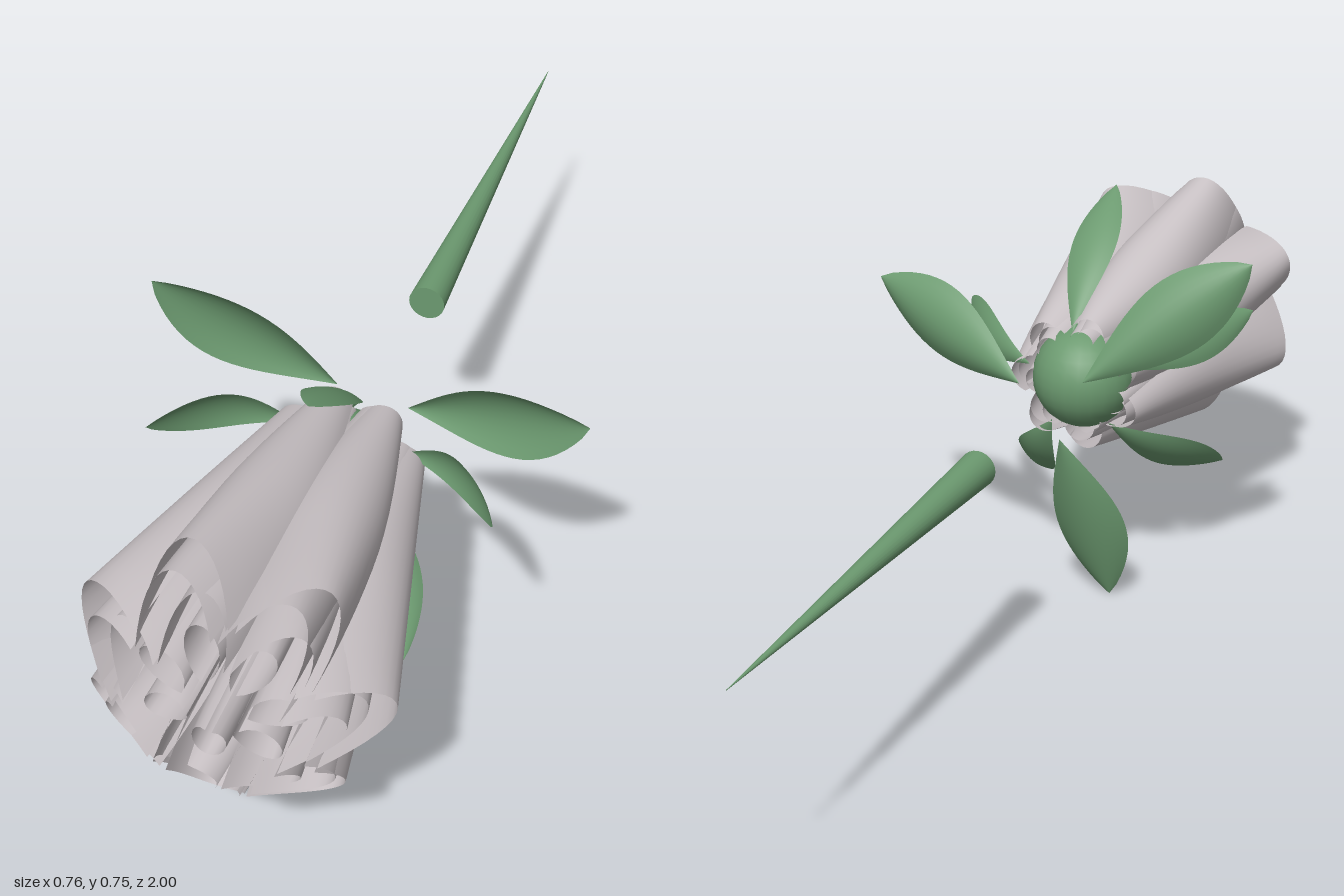
import * as THREE from 'three';

const CX = -0.04, CY = 0.445; // flower axis, running along z
const rad = THREE.MathUtils.degToRad;

// Open surface from a rule (u in -1..1 across, t in 0..1 along) -> [radial, tangential, z]
function sheet(rule, nu, nt) {
  const pos = [], idx = [];
  for (let j = 0; j <= nt; j++) {
    for (let i = 0; i <= nu; i++) {
      pos.push(...rule(-1 + (2 * i) / nu, j / nt));
      if (i < nu && j < nt) {
        const a = j * (nu + 1) + i, b = a + nu + 1;
        idx.push(a, a + 1, b, a + 1, b + 1, b);
      }
    }
  }
  const g = new THREE.BufferGeometry();
  g.setAttribute('position', new THREE.Float32BufferAttribute(pos, 3));
  g.setIndex(idx);
  g.computeVertexNormals();
  return g;
}

// Curled petal: a cross-section arc that widens and leans outwards, its tip slightly pinched
function petalGeometry({ r0, r1, width, depth, curl, zEnd, notch }) {
  const z0 = 0.32;
  const norm = curl > Math.PI / 2 ? 1 : Math.sin(curl);
  const drop = 1 - Math.cos(curl);
  return sheet((u, t) => {
    const a = u * curl;
    const open = 0.4 + 0.6 * Math.sin(Math.min(1, t / 0.6) * Math.PI / 2) - 0.15 * Math.pow(t, 6);
    const r = r0 + (r1 - r0) * t - depth * (0.3 + 0.7 * t) * (1 - Math.cos(a)) / drop;
    return [r, width * open * Math.sin(a) / norm, z0 + t * (zEnd + notch * u * u - z0)];
  }, 16, 14);
}

// Pointed leaf along a curved midline of (radius, z) points, edges cupped forward
function leafGeometry(points, halfWidth, cup) {
  const mid = new THREE.QuadraticBezierCurve(...points.map(p => new THREE.Vector2(...p)));
  return sheet((u, t) => {
    const p = mid.getPoint(t), d = mid.getTangent(t);
    const s = Math.pow(Math.max(0, Math.sin(Math.PI * Math.pow(t, 1.25))), 0.8);
    const lift = cup * s * u * u;
    return [p.x - d.y * lift, u * halfWidth * s, p.y + d.x * lift];
  }, 10, 20);
}

export function createModel() {
  const petalMat = new THREE.MeshStandardMaterial({ color: 0xcbc4c7, side: THREE.DoubleSide });
  petalMat.name = 'pale petal grey';
  const greenMat = new THREE.MeshStandardMaterial({ color: 0x6c9a70, side: THREE.DoubleSide });
  greenMat.name = 'leaf green';

  const model = new THREE.Group();
  model.name = 'flower';
  const flower = new THREE.Group();
  flower.name = 'flowerAxis';
  flower.position.set(CX, CY, 0);
  model.add(flower);

  const add = (geometry, material, name, degrees = 0) => {
    const mesh = new THREE.Mesh(geometry, material);
    mesh.name = name;
    mesh.rotation.z = rad(degrees);
    flower.add(mesh);
    return mesh;
  };

  // Thorn-like stem, tapering backwards
  const stem = new THREE.CylinderGeometry(0.034, 0.0005, 0.873, 24);
  stem.rotateX(Math.PI / 2);
  add(stem, greenMat, 'stem').position.z = -0.5615;

  // Round flower base and the flat heart inside the petals
  add(new THREE.SphereGeometry(0.1, 24, 16), greenMat, 'flowerBase').position.z = 0.363;
  const heart = new THREE.CylinderGeometry(0.043, 0.043, 0.12, 20);
  heart.rotateX(Math.PI / 2);
  add(heart, greenMat, 'heart').position.z = 0.46;

  // Four nested rings of seven petals, curling tighter towards the middle
  const rings = [
    { name: 'outerPetal', turn: 0, r0: 0.135, r1: 0.265, width: 0.086, depth: 0.1, curl: 1.2, zEnd: 0.875, notch: 0.09 },
    { name: 'secondPetal', turn: 0.13, r0: 0.12, r1: 0.232, width: 0.076, depth: 0.085, curl: 1.3, zEnd: 0.91, notch: 0.07 },
    { name: 'thirdPetal', turn: -0.12, r0: 0.105, r1: 0.2, width: 0.062, depth: 0.08, curl: 1.6, zEnd: 0.92, notch: 0.08 },
    { name: 'innerPetal', turn: 0, r0: 0.072, r1: 0.142, width: 0.034, depth: 0.088, curl: 2.95, zEnd: 0.93, notch: 0.03 },
  ];
  for (const ring of rings) {
    const geometry = petalGeometry(ring);
    for (let i = 0; i < 7; i++) add(geometry, petalMat, ring.name, (i + ring.turn) * 360 / 7);
  }

  // Five small sepals hugging the petals
  const tips = [0.595, 0.51, 0.595, 0.515, 0.51];
  tips.forEach((z, i) => {
    const g = leafGeometry([[0.1, 0.325], [0.25, 0.345 + (z - 0.51) * 0.8], [0.315, z]], 0.046, 0.012);
    add(g, greenMat, 'sepal', 84 + 72 * i);
  });

  // Three large leaves behind the flower
  const leaf = leafGeometry([[0.075, 0.212], [0.27, 0.245], [0.446, 0.325]], 0.071, 0.03);
  for (let i = 0; i < 3; i++) add(leaf, greenMat, 'leaf', 20 + 120 * i);

  return model;
}
